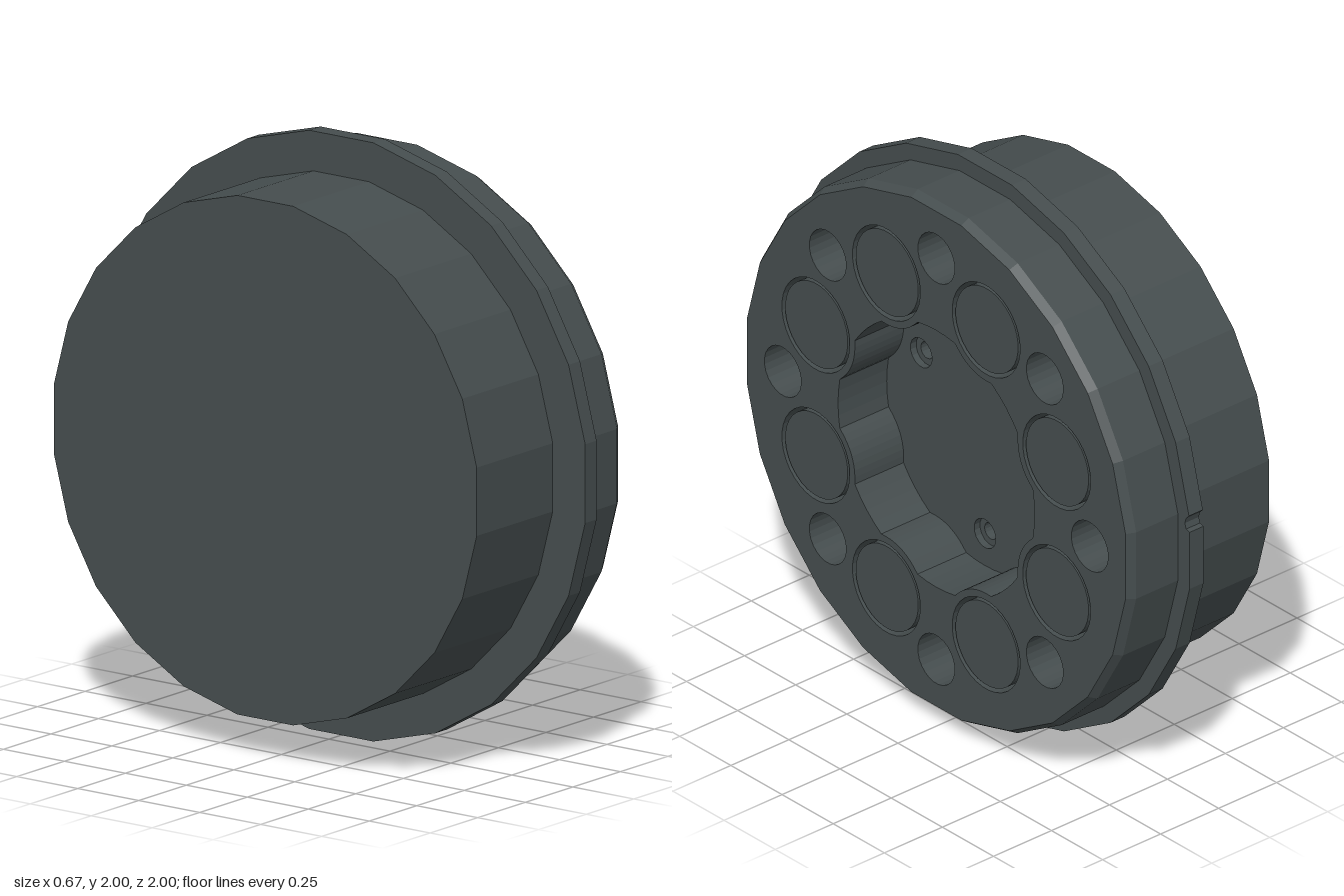
import * as THREE from 'three';

const SIDES = 24;
const STEP = (2 * Math.PI) / SIDES;
const FLAT = 1 / Math.cos(STEP / 2); // flat-to-flat radius -> corner radius
const FACE = 0.335, FLOOR = 0.125, FLANGE_BACK = 0.065;

const material = new THREE.MeshStandardMaterial({ color: 0x454d4e, flatShading: true });

const polar = (r, a) => new THREE.Vector2(r * Math.cos(a), r * Math.sin(a));

// Regular polygon with flats towards the axes
function ring(r, cx = 0, cy = 0, n = SIDES) {
  const pts = [];
  for (let i = 0; i < n; i++) {
    const p = polar(r, ((i + 0.5) * 2 * Math.PI) / n);
    pts.push(new THREE.Vector2(cx + p.x, cy + p.y));
  }
  return pts;
}

// Outline with holes, extruded along x from x0 to x1
function plate(name, outline, holes, x0, x1) {
  const shape = new THREE.Shape(outline);
  holes.forEach((h) => shape.holes.push(new THREE.Path(h)));
  const geo = new THREE.ExtrudeGeometry(shape, { depth: x1 - x0, bevelEnabled: false });
  geo.rotateY(Math.PI / 2).translate(x0, 0, 0);
  const mesh = new THREE.Mesh(geo, material);
  mesh.name = name;
  return mesh;
}

// Cylinder or cone section along x
function drum(name, rBack, rFront, x0, x1, open = false) {
  const geo = new THREE.CylinderGeometry(rFront, rBack, x1 - x0, SIDES, 1, open, STEP / 2);
  geo.rotateZ(-Math.PI / 2).translate((x0 + x1) / 2, 0, 0);
  const mesh = new THREE.Mesh(geo, material);
  mesh.name = name;
  return mesh;
}

// Central recess: outer arcs alternating with rounded bosses
function recessOutline() {
  const pts = [], half = THREE.MathUtils.degToRad(11);
  for (let k = 0; k < 8; k++) {
    const a = (k * Math.PI) / 4, b = a + Math.PI / 8;
    for (let i = 0; i <= 4; i++) pts.push(polar(0.48, a + half * (i / 2 - 1)));
    const c = polar(0.637, b);
    for (let i = 1; i < 8; i++) {
      pts.push(polar(0.191, b + Math.PI + 0.52 * (1 - i / 4)).add(c));
    }
  }
  return pts;
}

export function createModel() {
  const group = new THREE.Group();
  group.name = 'flangedHub';
  group.position.y = 1;

  // Rear drum
  group.add(drum('rearDrum', 0.867 * FLAT, 0.867 * FLAT, -0.335, FLANGE_BACK));

  // Flange with a small edge notch and three stepped screw holes
  const flange = [];
  ring(FLAT).forEach((p, i) => {
    if (i === 0) {
      flange.push(new THREE.Vector2(1, 0.08), new THREE.Vector2(0.983, 0.085),
        new THREE.Vector2(0.977, 0.105), new THREE.Vector2(0.983, 0.125),
        new THREE.Vector2(0.997, 0.14));
    } else flange.push(p);
  });
  const screws = (r) => [0, 1, 2].map((k) => {
    const c = polar(0.36, -Math.PI / 2 + (k * 2 * Math.PI) / 3);
    return ring(r, c.x, c.y, 16);
  });
  group.add(plate('flangeBack', flange, screws(0.03), FLANGE_BACK, 0.1));
  group.add(plate('flangeFront', flange, screws(0.053), 0.1, FLOOR));

  // Front drum wall and chamfer
  group.add(drum('frontDrumWall', 0.943 * FLAT, 0.943 * FLAT, FLOOR, 0.305, true));
  group.add(drum('frontChamfer', 0.943 * FLAT, 0.925 * FLAT, 0.305, FACE, true));

  // Front face block with recess, eight small holes and eight insert bores
  const holes = [recessOutline()];
  for (let k = 0; k < 8; k++) {
    const s = polar(0.75, (k * Math.PI) / 4);
    const l = polar(0.637, ((k + 0.5) * Math.PI) / 4);
    holes.push(ring(0.09, s.x, s.y), ring(0.166, l.x, l.y, 32));

    // Round insert, almost flush with the face
    group.add(plate('roundInsert', ring(0.153, l.x, l.y, 32), [], FLOOR, FACE - 0.003));
  }
  group.add(plate('frontFace', ring(0.925 * FLAT), holes, FLOOR, FACE));

  return group;
}
